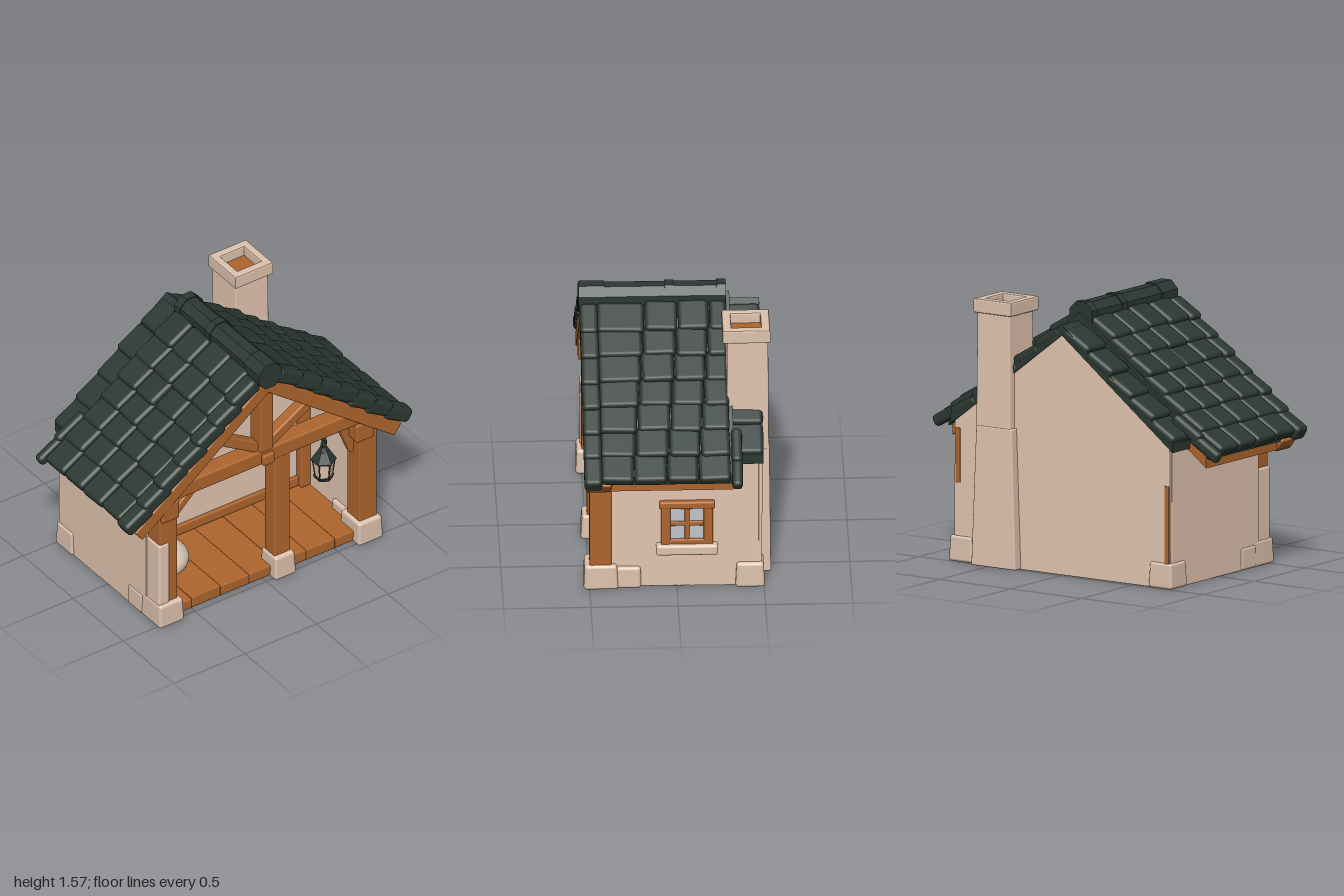
import * as THREE from 'three';
import { RoundedBoxGeometry } from 'three/addons/geometries/RoundedBoxGeometry.js';

const mat = (name, color) => Object.assign(new THREE.MeshStandardMaterial({ color }), { name });
const plaster = mat('plaster', 0xe4c6b0);
const stone = mat('stone', 0xdec3ae);
const wood = mat('wood', 0xae652d);
const slate = mat('slate', 0x2c3832);
const glass = mat('glass', 0xc4c4cc);
const cushion = mat('cushion', 0xdac7b6);

const SLOPE = 0.77, ANGLE = Math.atan(SLOPE);

let seed = 7;
const jitter = (a) => {
  seed = (seed * 16807) % 2147483647;
  return (seed / 2147483647 - 0.5) * 2 * a;
};

export function createModel() {
  const model = new THREE.Group();
  model.name = 'cottage';

  const add = (name, geo, material, parent = model) => {
    const m = new THREE.Mesh(geo, material);
    m.name = name;
    parent.add(m);
    return m;
  };
  // Softened box given by its extents
  const box = (name, material, x0, x1, y0, y1, z0, z1, r = 0.01, parent = model) => {
    const w = x1 - x0, h = y1 - y0, d = z1 - z0;
    const m = add(name, new RoundedBoxGeometry(w, h, d, 2, Math.min(r, w * 0.45, h * 0.45, d * 0.45)), material, parent);
    m.position.set((x0 + x1) / 2, (y0 + y1) / 2, (z0 + z1) / 2);
    return m;
  };
  // Beam between two points of the front plane
  const beam = (name, ax, ay, bx, by, t, z0, z1) => {
    const m = box(name, wood, 0, Math.hypot(bx - ax, by - ay), 0, t, z0, z1);
    m.position.set((ax + bx) / 2, (ay + by) / 2, (z0 + z1) / 2);
    m.rotation.z = Math.atan2(by - ay, bx - ax);
  };
  // Softened box narrowing towards its top
  const taper = (name, material, x, z, y0, y1, w0, d0, w1, d1, r = 0.018) => {
    const h = y1 - y0, g = new RoundedBoxGeometry(w0, h, d0, 2, r);
    const p = g.attributes.position;
    for (let i = 0; i < p.count; i++) {
      const t = p.getY(i) / h + 0.5;
      p.setX(i, p.getX(i) * (1 + t * (w1 / w0 - 1)));
      p.setZ(i, p.getZ(i) * (1 + t * (d1 / d0 - 1)));
    }
    add(name, g, material).position.set(x, (y0 + y1) / 2, z);
  };
  const prism = (name, material, pts, z0, z1) => {
    const s = new THREE.Shape(pts.map(([x, y]) => new THREE.Vector2(x, y)));
    add(name, new THREE.ExtrudeGeometry(s, { depth: z1 - z0, bevelEnabled: false }), material).position.z = z0;
  };
  // Inverted V slab between two heights measured at the ridge
  const chevron = (name, material, lo, hi, x, z0, z1) => prism(name, material,
    [[0, lo], [x, lo - SLOPE * x], [x, hi - SLOPE * x], [0, hi], [-x, hi - SLOPE * x], [-x, lo - SLOPE * x]], z0, z1);

  // Floor with planks
  box('floorBase', wood, -0.755, 0.755, 0, 0.06, -0.482, 0.46, 0.003);
  for (let i = 0; i < 7; i++) {
    const x = -0.7 + i * 0.2;
    box('floorPlank', wood, x, x + 0.198, 0.012, 0.08 + jitter(0.005), -0.1, 0.475, 0.006);
  }
  box('skirtingBoard', wood, -0.68, 0.68, 0.08, 0.145, -0.09, -0.06);

  // House body and porch side walls
  prism('houseWall', plaster, [[-0.76, 0.003], [0.76, 0.003], [0.755, 0.82], [0, 1.4], [-0.755, 0.82]], -0.487, -0.08);
  for (const s of [-1, 1]) {
    const side = box('sideWall', plaster, -0.04, 0.04, 0.003, 0.81, -0.47, 0.385, 0.004);
    side.position.x = s * 0.72;
  }
  box('wallEnd', plaster, -0.755, -0.68, 0.08, 0.57, 0.3, 0.508, 0.015);

  // Corner stones
  for (const s of [-1, 1]) {
    taper('frontStone', stone, s * 0.695 + 0.015, 0.435, 0, 0.152, 0.175, 0.2, 0.162, 0.185);
    taper('sideStone', stone, s * 0.712 + 0.008, 0.28, 0, 0.135, 0.13, 0.15, 0.125, 0.145);
    taper('backStone', stone, s * 0.702 + 0.008, -0.42, 0, 0.152, 0.165, 0.17, 0.152, 0.155);
  }
  taper('middleStone', stone, 0.117, 0.45, 0, 0.152, 0.15, 0.165, 0.135, 0.145);

  // Timber frame of the porch
  box('postLeft', wood, -0.745, -0.62, 0.1, 0.82, 0.375, 0.5);
  box('postRight', wood, 0.65, 0.775, 0.1, 0.82, 0.375, 0.5);
  box('postMiddle', wood, 0.06, 0.17, 0.1, 0.86, 0.395, 0.495);
  box('tieBeam', wood, -0.7, 0.7, 0.84, 0.94, 0.39, 0.5, 0.015);
  box('kingPost', wood, -0.047, 0.047, 0.93, 1.4, 0.4, 0.505);
  box('beamPeg', wood, -0.035, 0.045, 0.845, 0.915, 0.45, 0.525);
  beam('kneeBraceLeft', -0.64, 0.68, -0.45, 0.86, 0.05, 0.4, 0.46);
  beam('kneeBraceRight', 0.655, 0.62, 0.56, 0.86, 0.05, 0.39, 0.44);
  for (const s of [-1, 1]) {
    beam('strut', s * 0.03, 0.95, s * 0.36, 1.15, 0.065, 0.41, 0.485);
    beam('rafter', 0, 1.41, s * 0.905, 1.41 - SLOPE * 0.905, 0.085, 0.38, 0.525);
    const cap = box('postCap', wood, -0.06, 0.06, 0.73, 0.85, 0.38, 0.52);
    cap.position.x = s * 0.68;
    const inner = box('innerPost', wood, -0.035, 0.035, 0.08, 0.86, -0.09, -0.03);
    inner.position.x = s * 0.65;
  }
  box('backTimberLeft', wood, 0.715, 0.75, 0.46, 0.78, -0.492, -0.475, 0.003);
  box('backTimberRight', wood, -0.752, -0.72, 0.13, 0.6, -0.492, -0.475, 0.003);

  // Roof decks
  chevron('roofDeck', wood, 1.382, 1.456, 0.892, -0.32, 0.52);
  chevron('roofUnderlay', slate, 1.452, 1.505, 0.915, -0.325, 0.5);
  chevron('backRoof', slate, 1.4, 1.46, 0.78, -0.495, -0.28);

  // Roof tiles, overlapping from the eaves to the ridge
  const tile = (s, x, ridge, z0, z1, thick, length = 0.195) => {
    const m = box('roofTile', slate, 0, length, 0, thick, z0 + 0.002, z1 - 0.002, 0.024);
    m.position.set(s * (x + jitter(0.008)), ridge - SLOPE * x + jitter(0.004), (z0 + z1) / 2);
    m.rotation.set(jitter(0.03), jitter(0.025), -s * (ANGLE - 0.13));
  };
  const columns = [-0.305, -0.12, 0.06, 0.25, 0.44];
  for (const s of [-1, 1]) {
    for (let r = 0; r < 7; r++) {
      const x = 0.89 - r * 0.125;
      const edge = (i) => columns[i] - (s > 0 && i > 0 && i < 4 ? 0.014 * r : 0);
      for (let i = 0; i < 4; i++) tile(s, x, 1.522, edge(i), edge(i + 1), 0.07);
      tile(s, x + 0.016, 1.522, 0.43, 0.538, 0.09);
      if (r < 2) tile(s, x + 0.016, 1.515, -0.375, -0.31, 0.07, 0.22);
    }
    for (let r = 0; r < 5; r++) tile(s, 0.7 - r * 0.15, 1.445, -0.5, -0.29, 0.06, 0.2);
  }

  // Ridge roll with bands
  const ridge = (name, r, z0, z1) => {
    const g = new THREE.CylinderGeometry(r, r, z1 - z0, 8).rotateY(Math.PI / 8).rotateX(Math.PI / 2).toNonIndexed();
    g.computeVertexNormals();
    add(name, g, slate).position.set(0, 1.486, (z0 + z1) / 2);
  };
  ridge('ridgeRoll', 0.08, -0.3, 0.5);
  ridge('ridgeEnd', 0.088, 0.39, 0.54);
  ridge('ridgeBand', 0.087, -0.005, 0.045);
  ridge('ridgeBand', 0.087, -0.305, -0.25);

  // Chimney, flaring towards the ground
  taper('chimneyBase', plaster, 0.447, -0.415, 0.003, 0.82, 0.31, 0.26, 0.25, 0.244, 0.008);
  taper('chimneyShaft', plaster, 0.455, -0.412, 0.78, 1.49, 0.24, 0.244, 0.228, 0.235, 0.008);
  const rect = (w, h, T) => new T([[-w, -h], [w, -h], [w, h], [-w, h]].map(([x, y]) => new THREE.Vector2(x, y)));
  const capShape = rect(0.122, 0.127, THREE.Shape);
  capShape.holes.push(rect(0.092, 0.094, THREE.Path));
  const capGeo = new THREE.ExtrudeGeometry(capShape, { depth: 0.066, bevelSize: 0.009, bevelThickness: 0.009, bevelSegments: 2 });
  add('chimneyCap', capGeo.rotateX(-Math.PI / 2), stone).position.set(0.454, 1.484, -0.405);
  box('chimneyFlue', wood, 0.364, 0.544, 1.488, 1.496, -0.495, -0.315, 0.002);

  // Side window
  const win = new THREE.Group();
  win.name = 'sideWindow';
  win.position.set(0.76, 0, -0.058);
  win.rotation.y = Math.PI / 2;
  model.add(win);
  box('pane', glass, -0.11, 0.11, 0.3, 0.53, 0, 0.008, 0.002, win);
  for (const s of [-1, 1]) box('jamb', wood, s * 0.122 - 0.027, s * 0.122 + 0.027, 0.28, 0.54, -0.01, 0.025, 0.008, win);
  box('lintel', wood, -0.158, 0.158, 0.515, 0.56, -0.01, 0.032, 0.01, win);
  box('bottomRail', wood, -0.12, 0.12, 0.28, 0.315, -0.01, 0.024, 0.008, win);
  box('mullion', wood, -0.014, 0.014, 0.3, 0.53, -0.005, 0.018, 0.006, win);
  box('glazingBar', wood, -0.11, 0.11, 0.4, 0.428, -0.005, 0.018, 0.006, win);
  box('sill', stone, -0.178, 0.178, 0.222, 0.286, -0.02, 0.05, 0.015, win);

  // Arched window on the porch wall
  const arch = new THREE.Group();
  arch.name = 'archedWindow';
  arch.position.set(-0.424, 0, -0.08);
  model.add(arch);
  const archPath = (T, r, y0) => {
    const p = new T();
    p.moveTo(-r, y0);
    p.lineTo(r, y0);
    p.lineTo(r, 0.475);
    p.absarc(0, 0.475, r, 0, Math.PI, false);
    p.closePath();
    return p;
  };
  const frame = archPath(THREE.Shape, 0.142, 0.31);
  frame.holes.push(archPath(THREE.Path, 0.098, 0.335));
  add('frame', new THREE.ExtrudeGeometry(frame, { depth: 0.03, bevelSize: 0.005, bevelThickness: 0.005, bevelSegments: 1, curveSegments: 16 }), wood, arch);
  add('pane', new THREE.ShapeGeometry(archPath(THREE.Shape, 0.1, 0.33)), glass, arch).position.z = 0.006;
  box('mullion', wood, -0.013, 0.013, 0.33, 0.57, 0, 0.022, 0.006, arch);
  box('glazingBar', wood, -0.1, 0.1, 0.435, 0.461, 0, 0.022, 0.006, arch);
  box('sill', stone, -0.165, 0.165, 0.26, 0.322, -0.01, 0.07, 0.015, arch);

  // Round floor cushion with a dimple
  const puff = new THREE.SplineCurve([[0.001, 0.082], [0.11, 0.086], [0.161, 0.13], [0.161, 0.185], [0.11, 0.233], [0.04, 0.237], [0.001, 0.22]]
    .map(([x, y]) => new THREE.Vector2(x, y)));
  add('cushion', new THREE.LatheGeometry(puff.getPoints(24), 28), cushion).position.set(-0.485, 0, 0.13);

  // Hanging lantern
  const lantern = new THREE.Group();
  lantern.name = 'lantern';
  lantern.position.set(0.442, 0, 0.44);
  model.add(lantern);
  const cyl = (name, m, rt, rb, y0, y1) => {
    const g = new THREE.CylinderGeometry(rt, rb, y1 - y0, 6).toNonIndexed();
    g.computeVertexNormals();
    add(name, g, m, lantern).position.y = (y0 + y1) / 2;
  };
  for (let i = 0; i < 3; i++) {
    const link = add('chainLink', new THREE.TorusGeometry(0.02, 0.007, 6, 12), slate, lantern);
    link.position.y = 0.82 - i * 0.032;
    link.rotation.y = i % 2 ? Math.PI / 2 : 0.3;
  }
  cyl('lanternCrown', slate, 0.02, 0.036, 0.71, 0.74);
  cyl('lanternRoof', slate, 0.036, 0.076, 0.65, 0.712);
  cyl('lanternEave', slate, 0.076, 0.068, 0.638, 0.651);
  cyl('lanternGlass', plaster, 0.064, 0.05, 0.535, 0.645);
  cyl('lanternBase', slate, 0.062, 0.054, 0.52, 0.54);
  cyl('lanternFoot', slate, 0.036, 0.02, 0.5, 0.522);
  for (let i = 0; i < 6; i++) {
    const a = (i * Math.PI) / 3, at = (r, y) => new THREE.Vector3(Math.sin(a) * r, y, Math.cos(a) * r);
    add('lanternBar', new THREE.TubeGeometry(new THREE.LineCurve3(at(0.049, 0.53), at(0.064, 0.645)), 1, 0.0045, 5), slate, lantern);
  }
  return model;
}
